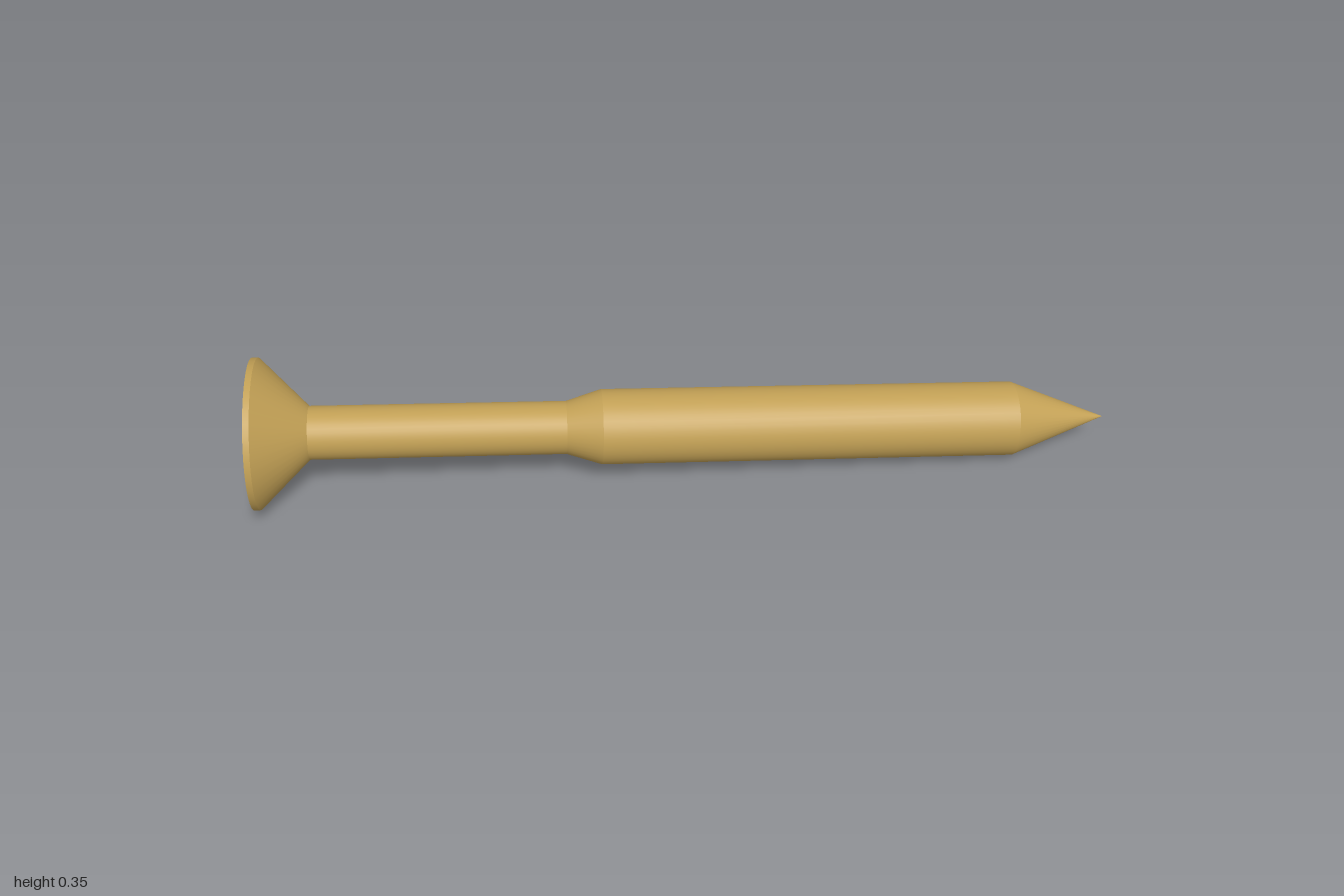
import * as THREE from 'three';

const SIDES = 40;
const RECESS_DEPTH = 0.1;

// One lathed section between two profile points [radius, distance along axis]
function section(name, a, b, material) {
  const points = [new THREE.Vector2(...a), new THREE.Vector2(...b)];
  const mesh = new THREE.Mesh(new THREE.LatheGeometry(points, SIDES), material);
  mesh.name = name;
  return mesh;
}

// Outline of the cross recess: four wide arms with thin ribs between them
function crossOutline(scale = 1) {
  const quarter = [
    [0.1, -0.025], [0.1, 0.025], [0.037, 0.025],
    [0.061, 0.049], [0.049, 0.061], [0.025, 0.037],
  ];
  const points = [];
  for (let i = 0; i < 4; i++) {
    for (const [x, y] of quarter) {
      points.push(new THREE.Vector2(x, y).multiplyScalar(scale)
        .rotateAround(new THREE.Vector2(), i * Math.PI / 2));
    }
  }
  return points;
}

// Tapering walls from the rim of the recess down to its floor
function recessWalls(top, bottom) {
  const positions = [];
  top.forEach((a, i) => {
    const j = (i + 1) % top.length;
    const b = top[j], c = bottom[j], d = bottom[i];
    positions.push(a.x, a.y, 0, b.x, b.y, 0, c.x, c.y, -RECESS_DEPTH);
    positions.push(a.x, a.y, 0, c.x, c.y, -RECESS_DEPTH, d.x, d.y, -RECESS_DEPTH);
  });
  const geometry = new THREE.BufferGeometry();
  geometry.setAttribute('position', new THREE.Float32BufferAttribute(positions, 3));
  geometry.computeVertexNormals();
  return geometry;
}

export function createModel() {
  const brass = new THREE.MeshStandardMaterial({ color: 0xc2a055 });
  brass.name = 'brass';
  const model = new THREE.Group();
  model.name = 'screw';

  // Turned body, from head to tip; separate sections keep the edges sharp
  const profile = [
    [0.175, 0], [0.175, 0.014], [0.062, 0.126], [0.062, 0.714],
    [0.088, 0.796], [0.088, 1.777], [0, 2.007],
  ];
  const names = ['headRim', 'headCone', 'shank', 'shoulder', 'threadBody', 'tip'];
  names.forEach((name, i) => model.add(section(name, profile[i], profile[i + 1], brass)));

  // Flat head face with the driver recess cut into it
  const top = crossOutline();
  const bottom = crossOutline(0.55);
  const face = new THREE.Shape().absarc(0, 0, 0.175, 0, Math.PI * 2);
  face.holes.push(new THREE.Path(top.slice().reverse()));
  const floor = new THREE.ShapeGeometry(new THREE.Shape(bottom));
  floor.translate(0, 0, -RECESS_DEPTH);
  const headParts = {
    headFace: new THREE.ShapeGeometry(face, SIDES),
    recessWalls: recessWalls(top, bottom),
    recessFloor: floor,
  };
  for (const [name, geometry] of Object.entries(headParts)) {
    const mesh = new THREE.Mesh(geometry.rotateX(Math.PI / 2), brass);
    mesh.name = name;
    model.add(mesh);
  }

  // Lay the screw along its tilted axis, with the recess upright
  const head = new THREE.Vector3(-0.963, 0.179, -0.143);
  const axis = new THREE.Vector3(1, 0.082, 0.272).sub(head).normalize();
  const side = new THREE.Vector3().crossVectors(axis, new THREE.Vector3(0, 1, 0)).normalize();
  const up = new THREE.Vector3().crossVectors(side, axis);
  model.quaternion.setFromRotationMatrix(
    new THREE.Matrix4().makeBasis(up, axis, new THREE.Vector3().crossVectors(up, axis)));
  model.position.copy(head);

  const root = new THREE.Group();
  root.add(model);
  return root;
}
